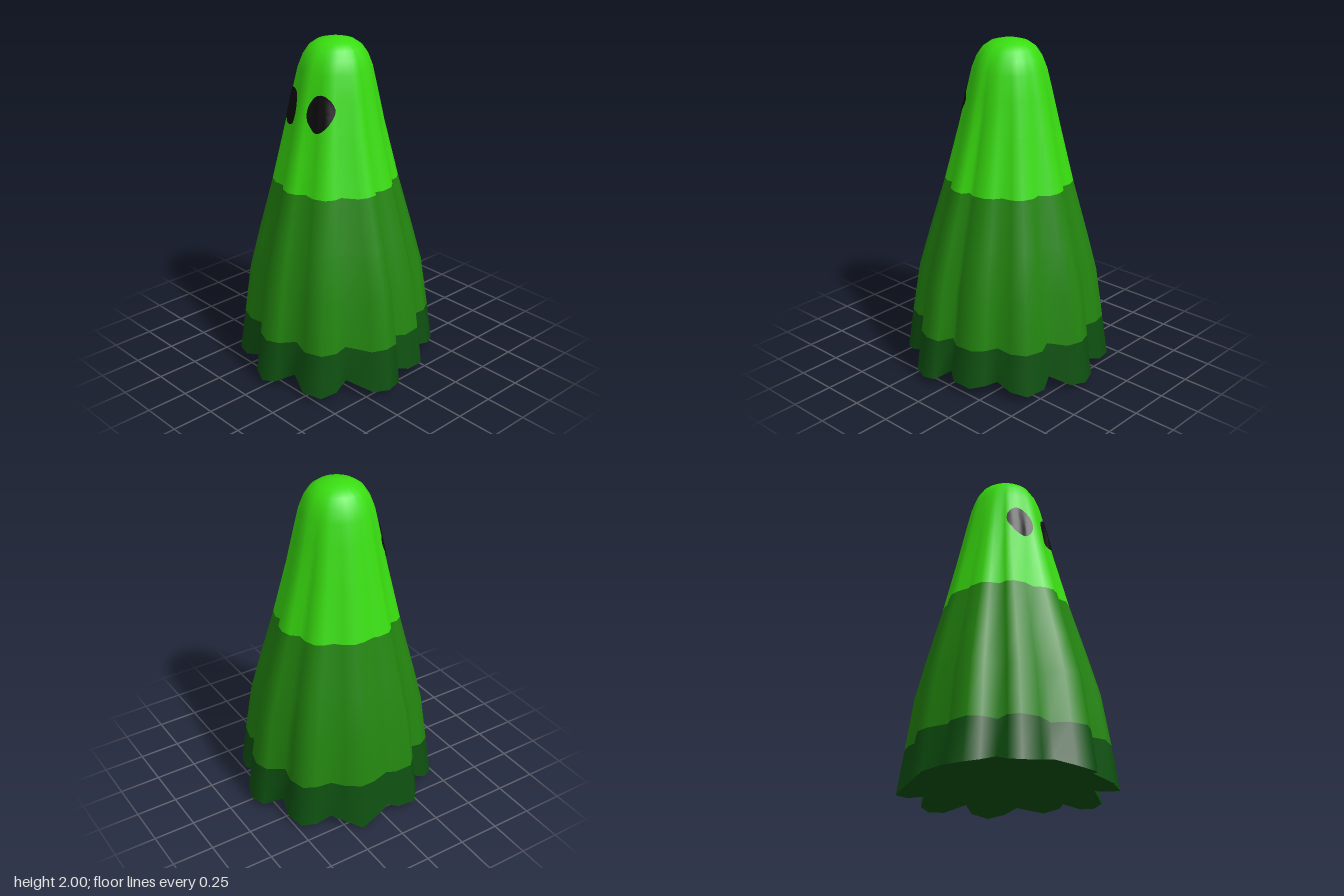
import * as THREE from 'three';

const mat = (name, color, extra = {}) => {
  const m = new THREE.MeshStandardMaterial({ color, ...extra });
  m.name = name;
  return m;
};

// Pleated hem outline as x, z pairs: ten folds, four points each
const HEM = [
  -0.03, -0.61, 0.07, -0.58, 0.13, -0.46, 0.23, -0.51,
  0.34, -0.48, 0.39, -0.39, 0.38, -0.28, 0.46, -0.25,
  0.52, -0.19, 0.53, -0.07, 0.47, 0.01, 0.57, 0.05,
  0.58, 0.14, 0.54, 0.23, 0.38, 0.30, 0.405, 0.40,
  0.37, 0.49, 0.26, 0.53, 0.13, 0.48, 0.07, 0.57,
  -0.01, 0.61, -0.11, 0.57, -0.18, 0.48, -0.295, 0.50,
  -0.405, 0.46, -0.44, 0.39, -0.42, 0.30, -0.515, 0.27,
  -0.58, 0.21, -0.58, 0.09, -0.55, 0.04, -0.585, -0.08,
  -0.585, -0.17, -0.52, -0.255, -0.45, -0.31, -0.44, -0.405,
  -0.40, -0.485, -0.29, -0.51, -0.18, -0.48, -0.12, -0.58,
];
const N = HEM.length / 2;
const LOWEST = 32; // the fold that touches the ground

// Rings: height, fold radius, pleat strength, x offset
const RINGS = [
  [0, 0.6, 1, 0],
  [0.29, 0.565, 0.96, 0],
  [0.6, 0.52, 0.9, -0.005],
  [0.85, 0.455, 0.8, -0.012],
  [1.16, 0.37, 0.65, -0.02],
  [1.5, 0.287, 0.5, -0.027],
  [1.7, 0.243, 0.32, -0.028],
  [1.83, 0.213, 0.2, -0.028],
  [1.9, 0.186, 0.1, -0.028],
  [1.95, 0.152, 0.04, -0.028],
  [1.98, 0.108, 0, -0.028],
  [1.994, 0.055, 0, -0.028],
];

function ringPoint(i, row) {
  const [h, radius, pleat, cx] = RINGS[row];
  const x = HEM[2 * i], z = HEM[2 * i + 1], r = Math.hypot(x, z);
  const s = radius * THREE.MathUtils.lerp(1, r / 0.6, pleat) / r;
  let y = h;
  if (row === 0) y = i === LOWEST ? 0 : Math.min(0.08, 0.03 + Math.max(0, 0.61 - r) * 0.5);
  return [cx + x * s, y, z * s];
}

function makeGeometry(positions, index) {
  const g = new THREE.BufferGeometry();
  g.setAttribute('position', new THREE.Float32BufferAttribute(positions, 3));
  g.setIndex(index);
  g.computeVertexNormals();
  return g;
}

// Draped cloth, one smooth skin with three colour bands
function clothGeometry() {
  const pos = [], index = [];
  RINGS.forEach((_, row) => {
    for (let i = 0; i < N; i++) pos.push(...ringPoint(i, row));
  });
  const apex = pos.length / 3;
  pos.push(-0.028, 2, 0);
  for (let row = 0; row < RINGS.length; row++) {
    for (let i = 0; i < N; i++) {
      const j = (i + 1) % N;
      const a = row * N + i, b = row * N + j;
      if (row === RINGS.length - 1) index.push(a, apex, b);
      else index.push(a, a + N, b, b, a + N, b + N);
    }
  }
  const g = makeGeometry(pos, index);
  const perRow = N * 6;
  g.addGroup(0, perRow, 0);
  g.addGroup(perRow, perRow * 3, 1);
  g.addGroup(perRow * 4, index.length - perRow * 4, 2);
  return g;
}

// Closed underside
function undersideGeometry() {
  const pos = [], index = [];
  for (let i = 0; i < N; i++) {
    pos.push(...ringPoint(i, 0));
    index.push(N, i, (i + 1) % N);
  }
  pos.push(0, 0.06, 0);
  return makeGeometry(pos, index);
}

// Oval eye laid onto the cloth by casting rays from the front
function eyeGeometry(cloth, cx, cy, rx, ry) {
  const g = new THREE.CircleGeometry(1, 20);
  const disc = new THREE.RingGeometry(0.001, 1, 24, 6);
  g.dispose();
  const p = disc.attributes.position;
  const ray = new THREE.Raycaster();
  for (let i = 0; i < p.count; i++) {
    const x = cx + p.getX(i) * rx, y = cy + p.getY(i) * ry;
    ray.set(new THREE.Vector3(x, y, 3), new THREE.Vector3(0, 0, -1));
    const hit = ray.intersectObject(cloth)[0];
    p.setXYZ(i, x, y, (hit ? hit.point.z : 0.2) + 0.007);
  }
  disc.computeVertexNormals();
  return disc;
}

export function createModel() {
  const bright = mat('brightGreen', 0x39dd10);
  const mid = mat('middleGreen', 0x23850f);
  const dark = mat('darkGreen', 0x0e5010);
  const black = mat('eyeBlack', 0x0d0d0d, { side: THREE.DoubleSide });

  const group = new THREE.Group();
  group.name = 'ghost';
  const add = (name, geometry, material) => {
    const mesh = new THREE.Mesh(geometry, material);
    mesh.name = name;
    group.add(mesh);
    return mesh;
  };

  const cloth = add('drapedCloth', clothGeometry(), [dark, mid, bright]);
  add('underside', undersideGeometry(), dark);
  add('rightEye', eyeGeometry(cloth, -0.145, 1.62, 0.072, 0.105), black);
  add('leftEye', eyeGeometry(cloth, 0.085, 1.62, 0.072, 0.105), black);
  return group;
}
